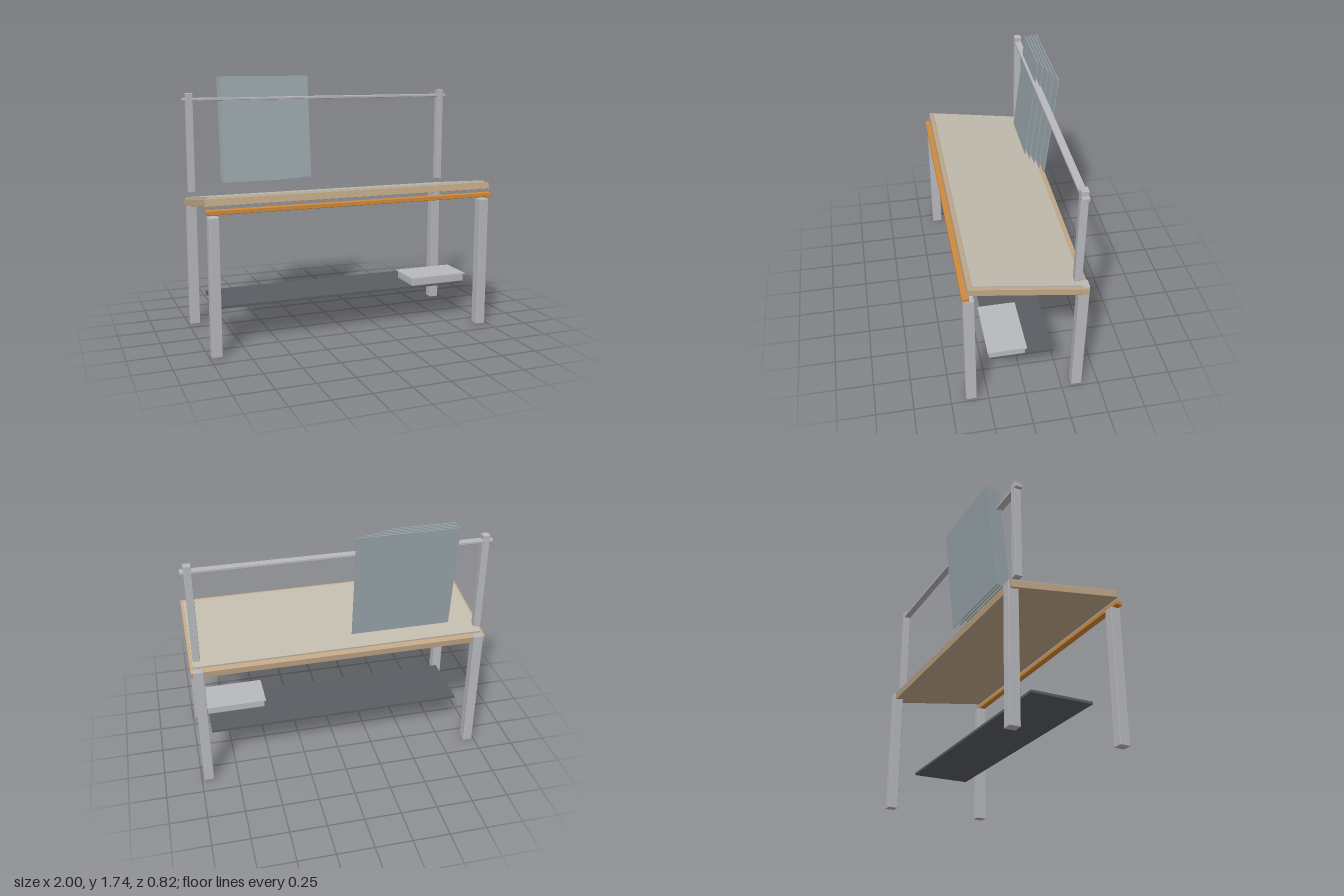
import * as THREE from 'three';
import { RoundedBoxGeometry } from 'three/addons/geometries/RoundedBoxGeometry.js';

const paint = (color) => new THREE.MeshStandardMaterial({ color });
const steel = paint(0xb8b9bd);
const wood = paint(0xc2a988);
const matGrey = paint(0xc2bcae);
const orange = paint(0xd08a3c);
const slate = paint(0x5a5e62);
const glass = paint(0x9aa6ac);

// A box from its size and centre, with slightly eased edges when r > 0.
function box(parent, name, material, size, position, r = 0) {
  const geometry = r > 0 ? new RoundedBoxGeometry(...size, 2, r) : new THREE.BoxGeometry(...size);
  const mesh = new THREE.Mesh(geometry, material);
  mesh.name = name;
  mesh.position.set(...position);
  parent.add(mesh);
  return mesh;
}

export function createModel() {
  const bench = new THREE.Group();
  bench.name = 'tiltedWorkbench';

  // Legs and upright posts, mirrored left and right
  for (const side of [-1, 1]) {
    const label = side > 0 ? 'Left' : 'Right';
    box(bench, 'frontLeg' + label, steel, [0.067, 0.903, 0.07], [side * 0.951, 0.4515, 0.363], 0.004);
    box(bench, 'backLeg' + label, steel, [0.067, 0.903, 0.07], [side * 0.951, 0.4515, -0.354], 0.004);
    box(bench, 'post' + label, steel, [0.048, 0.68, 0.048], [side * 0.953, 1.294, -0.312], 0.003);
  }

  // Rail joining the posts
  box(bench, 'topRail', steel, [2, 0.018, 0.047], [0, 1.592, -0.313], 0.003);

  // Sloping worktop, higher at the front, with a thin mat on it
  const worktop = new THREE.Group();
  worktop.name = 'worktop';
  worktop.position.set(0, 0.934, -0.003);
  worktop.rotation.x = -THREE.MathUtils.degToRad(9.1);
  bench.add(worktop);
  box(worktop, 'board', wood, [2, 0.048, 0.76], [0, 0, 0], 0.002);
  box(worktop, 'mat', matGrey, [1.96, 0.012, 0.69], [0, 0.03, 0.007]);

  // Bar along the front edge
  box(bench, 'frontBar', orange, [2, 0.029, 0.045], [0, 0.934, 0.383], 0.004);

  // Lower shelf
  box(bench, 'shelf', slate, [1.79, 0.016, 0.417], [-0.003, 0.267, 0.004]);

  // Shallow box on the shelf, with a slightly wider lid
  const storage = new THREE.Group();
  storage.name = 'storageBox';
  storage.position.set(0.693, 0.276, 0.108);
  bench.add(storage);
  box(storage, 'boxBody', steel, [0.41, 0.058, 0.245], [0, 0.029, 0], 0.008);
  box(storage, 'boxLid', steel, [0.428, 0.006, 0.262], [0, 0.058, 0]);

  // Leaning sheets, each wider than the one in front, flush at one end
  const sheets = new THREE.Group();
  sheets.name = 'sheets';
  bench.add(sheets);
  for (let i = 0; i < 5; i++) {
    const width = 0.419 + i * 0.0625;
    const sheet = box(sheets, 'sheet' + (i + 1), glass, [width, 0.73, 0.006],
      [-0.738 + width / 2, 1.38, -0.287 - i * 0.0208]);
    sheet.rotation.x = -0.1;
  }

  return bench;
}
